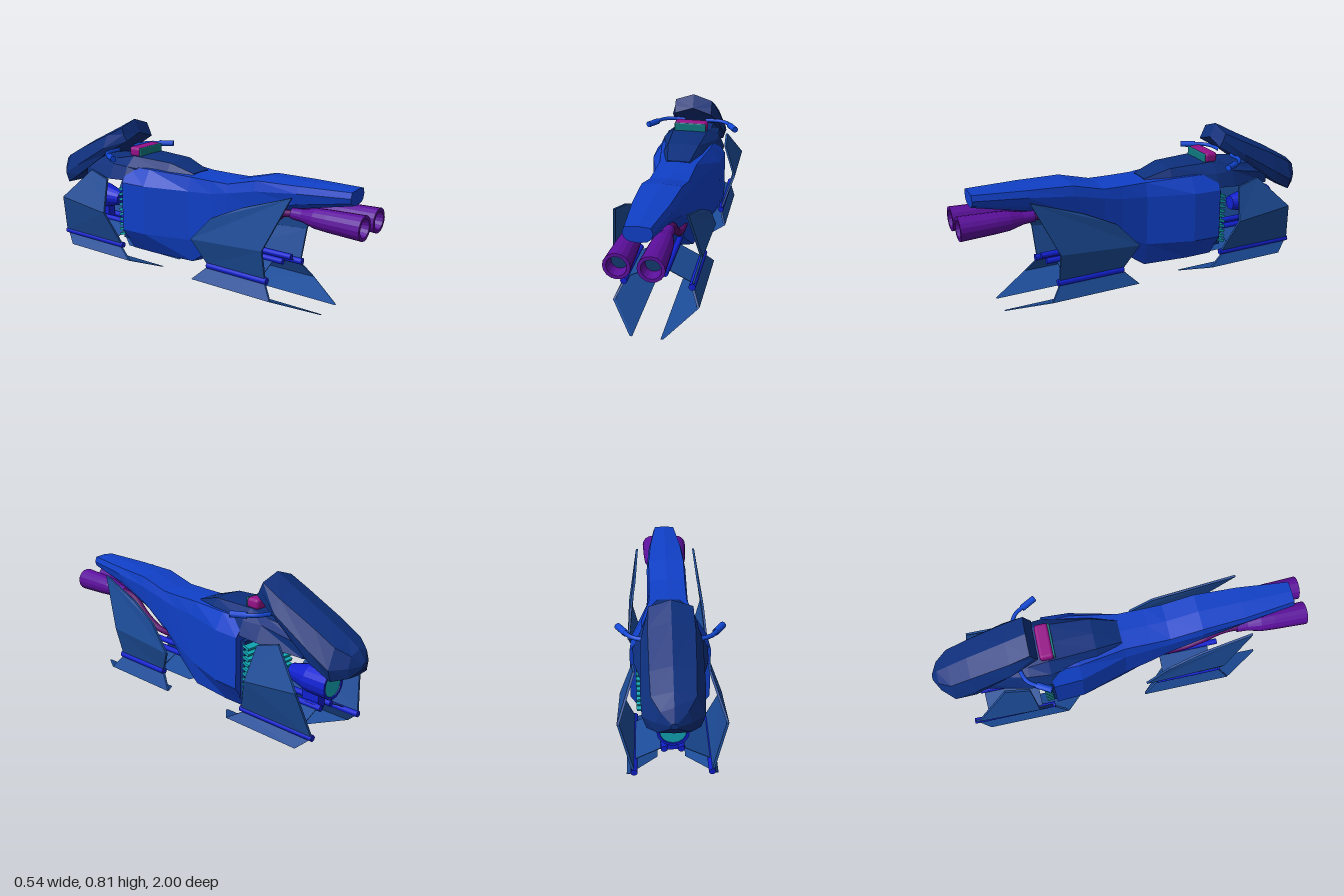
import * as THREE from 'three';
import { RoundedBoxGeometry } from 'three/addons/geometries/RoundedBoxGeometry.js';

const COLORS = {
  body: 0x1040c8, cowl: 0x0d2f7c, fin: 0x1c4c98, rod: 0x1020d0, bar: 0x1048d8,
  exhaust: 0x5c0f9c, pipe: 0x580a68, dash: 0x961088, screen: 0x107880, lens: 0x10a8b8, core: 0x123a70,
};
const mat = (name, flat = true, double = false) => new THREE.MeshStandardMaterial({
  color: COLORS[name], flatShading: flat, side: double ? THREE.DoubleSide : THREE.FrontSide,
});
const V = (x, y, z) => new THREE.Vector3(x, y, z);

function add(group, name, geometry, material) {
  const mesh = new THREE.Mesh(geometry, material);
  mesh.name = name;
  group.add(mesh);
  return mesh;
}

function fromTriangles(pos, index) {
  const g = new THREE.BufferGeometry();
  g.setAttribute('position', new THREE.Float32BufferAttribute(pos, 3));
  g.setIndex(index);
  const out = g.toNonIndexed();
  out.computeVertexNormals();
  return out;
}

// Mirrored loft: half sections [z, [x, y, dz], ...] run bottom centre to top centre, with z falling
function loft(sections) {
  const pos = [], index = [];
  const n = (sections[0].length - 2) * 2;
  for (const [z, ...half] of sections) {
    const ring = [...half, ...half.slice(1, -1).reverse().map(([x, y, d]) => [-x, y, d])];
    for (const [x, y, d = 0] of ring) pos.push(x, y, z + d);
  }
  const last = (sections.length - 1) * n;
  for (let i = 0; i < last; i += n) {
    for (let j = 0; j < n; j++) {
      const k = (j + 1) % n;
      index.push(i + j, i + n + j, i + k, i + k, i + n + j, i + n + k);
    }
  }
  for (let j = 1; j < n - 1; j++) index.push(0, j, j + 1, last, last + j + 1, last + j);
  return fromTriangles(pos, index);
}

// Thin convex plate, thickened toward the centre line
function plate(points, s, t = 0.012) {
  const n = points.length, pos = [], index = [];
  for (const d of [0, t]) for (const [x, y, z] of points) pos.push(s * (x - d), y, z);
  for (let j = 0; j < n; j++) {
    const k = (j + 1) % n;
    index.push(j, k, n + j, k, n + k, n + j);
    if (j > 0 && j < n - 1) index.push(0, j, j + 1, n, n + j + 1, n + j);
  }
  return fromTriangles(pos, index);
}

function rod(a, b, r, sides = 10) {
  return new THREE.TubeGeometry(new THREE.LineCurve3(a, b), 1, r, sides);
}

function cappedRod(group, name, x, y, z0, z1, r, material) {
  const g = new THREE.CylinderGeometry(r, r, Math.abs(z1 - z0), 12).rotateX(Math.PI / 2);
  add(group, name, g, material).position.set(x, y, (z0 + z1) / 2);
}

export function createModel() {
  const model = new THREE.Group();

  // Main body with seat and tail
  add(model, 'body', loft([
    [0.92, [0, 0.565], [0.04, 0.57], [0.06, 0.585], [0.068, 0.61], [0.058, 0.638], [0, 0.643]],
    [0.65, [0, 0.505], [0.05, 0.51], [0.085, 0.54], [0.1, 0.595], [0.088, 0.63], [0, 0.638]],
    [0.42, [0, 0.41], [0.055, 0.415], [0.1, 0.47], [0.112, 0.57], [0.1, 0.622], [0, 0.63]],
    [0.25, [0, 0.29], [0.06, 0.3], [0.1, 0.37], [0.112, 0.53], [0.1, 0.577], [0, 0.585]],
    [0.15, [0, 0.195], [0.07, 0.2], [0.105, 0.3], [0.112, 0.51], [0.1, 0.575], [0, 0.58]],
    [0.01, [0, 0.085], [0.085, 0.1], [0.115, 0.23], [0.118, 0.5], [0.1, 0.575], [0, 0.58]],
    [-0.24, [0, 0.08], [0.112, 0.1], [0.192, 0.23], [0.192, 0.5], [0.14, 0.585], [0, 0.59]],
    [-0.39, [0, 0.08], [0.112, 0.1], [0.2, 0.23], [0.2, 0.5], [0.14, 0.58], [0, 0.59]],
  ]), mat('body'));

  // Tank top running forward into the neck
  add(model, 'tank', loft([
    [0.0, [0, 0.55], [0.07, 0.55], [0.075, 0.565], [0.06, 0.582], [0, 0.583]],
    [-0.14, [0, 0.52], [0.11, 0.52], [0.115, 0.57], [0.085, 0.625], [0, 0.63]],
    [-0.39, [0, 0.48], [0.185, 0.51], [0.155, 0.58], [0.1, 0.632], [0, 0.635]],
    [-0.5, [0, 0.47], [0.18, 0.5], [0.145, 0.58], [0.1, 0.605], [0, 0.61]],
    [-0.74, [0, 0.45], [0.12, 0.47], [0.12, 0.53], [0.09, 0.58], [0, 0.58]],
  ]), mat('cowl'));

  // Front cowl with its raised windscreen edge
  add(model, 'frontCowl', loft([
    [-0.47, [0, 0.742, 0.035], [0.105, 0.708, 0.035], [0.107, 0.745, 0.015], [0.105, 0.78], [0, 0.815]],
    [-0.58, [0, 0.66], [0.13, 0.62], [0.145, 0.655], [0.11, 0.725], [0, 0.757]],
    [-0.79, [0, 0.5], [0.14, 0.47], [0.147, 0.53], [0.105, 0.625], [0, 0.652]],
    [-0.9, [0, 0.4], [0.12, 0.405], [0.14, 0.465], [0.1, 0.565], [0, 0.59]],
    [-0.965, [0, 0.42], [0.07, 0.425], [0.08, 0.475], [0.06, 0.53], [0, 0.552]],
    [-1.0, [0, 0.465], [0.015, 0.468], [0.018, 0.48], [0.012, 0.49], [0, 0.495]],
  ]), mat('cowl'));

  // Dashboard block with a screen facing the rider
  add(model, 'dashboard', new RoundedBoxGeometry(0.19, 0.055, 0.075, 2, 0.018), mat('dash', false))
    .position.set(0, 0.652, -0.392);
  add(model, 'dashScreen', new RoundedBoxGeometry(0.18, 0.048, 0.012, 2, 0.006), mat('screen', false))
    .position.set(0, 0.653, -0.354);

  // Radiator core and slats on the forward face of the body
  add(model, 'radiatorCore', new THREE.BoxGeometry(0.33, 0.31, 0.03), mat('cowl'))
    .position.set(0, 0.325, -0.4);
  for (let i = 0; i < 10; i++) {
    const slat = add(model, 'radiatorSlat', new THREE.BoxGeometry(0.34, 0.014, 0.04), mat('lens'));
    slat.position.set(0, 0.19 + i * 0.029, -0.425);
    slat.rotation.x = -0.35;
  }

  // Headlamp, its lens and lower bracket
  const lampProfile = [[0, 0], [0.04, 0], [0.055, 0.06], [0.072, 0.12], [0.075, 0.25], [0.062, 0.25], [0.058, 0.235]];
  add(model, 'headlamp', new THREE.LatheGeometry(
    lampProfile.map(([r, y]) => new THREE.Vector2(r, y)), 16).rotateX(-Math.PI / 2), mat('rod', true, true))
    .position.set(0, 0.33, -0.585);
  add(model, 'headlampLens', new THREE.CylinderGeometry(0.062, 0.062, 0.01, 20).rotateX(Math.PI / 2), mat('lens'))
    .position.set(0, 0.33, -0.825);
  add(model, 'lampBracket', new THREE.BoxGeometry(0.05, 0.1, 0.1), mat('rod')).position.set(0, 0.235, -0.72);
  add(model, 'lampCrossbar', new THREE.BoxGeometry(0.1, 0.025, 0.06), mat('rod')).position.set(0, 0.21, -0.74);

  for (const s of [1, -1]) {
    const side = new THREE.Group();
    side.name = s > 0 ? 'leftSide' : 'rightSide';
    model.add(side);
    const finMat = mat('fin', true, true), rodMat = mat('rod', false);

    // Rear stabiliser: folded fin above, folded skid below
    const fold = [[0.222, 0.315, 0.54], [0.222, 0.285, 0.105]];
    add(side, 'rearFinUpper', plate([
      [0.176, 0.595, 0.67], [0.19, 0.5, 0.4], [0.21, 0.42, 0.23], [0.224, 0.285, 0.105], fold[0]], s), finMat);
    add(side, 'rearFinLower', plate([
      fold[0], fold[1], [0.18, 0.155, 0.18], [0.18, 0.155, 0.535]], s), finMat);
    add(side, 'rearSkidUpper', plate([
      [0.18, 0.135, 0.535], [0.18, 0.135, 0.18], [0.217, 0.062, 0.105], [0.217, 0.062, 0.59]], s), finMat);
    add(side, 'rearSkidLower', plate([
      [0.217, 0.062, 0.59], [0.217, 0.062, 0.105], [0.08, 0.003, 0.235], [0.08, 0.003, 0.8]], s), finMat);

    // Front stabiliser
    add(side, 'frontFinUpper', plate([
      [0.182, 0.53, -0.64], [0.19, 0.495, -0.515], [0.25, 0.318, -0.49], [0.255, 0.358, -0.81]], s), finMat);
    add(side, 'frontFinLower', plate([
      [0.25, 0.318, -0.49], [0.255, 0.358, -0.81], [0.19, 0.135, -0.86], [0.19, 0.135, -0.42]], s), finMat);
    add(side, 'frontSkidUpper', plate([
      [0.185, 0.115, -0.43], [0.185, 0.115, -0.85], [0.217, 0.06, -0.79], [0.217, 0.06, -0.34]], s), finMat);
    add(side, 'frontSkidLower', plate([
      [0.217, 0.06, -0.34], [0.217, 0.06, -0.79], [0.08, 0.012, -0.6], [0.08, 0.012, -0.21]], s), finMat);

    // Hinge rods, inner rods and the webs between them
    cappedRod(side, 'rearHingeRod', s * 0.172, 0.145, 0.18, 0.545, 0.018, rodMat);
    cappedRod(side, 'rearInnerRod', s * 0.04, 0.212, 0.1, 0.555, 0.016, rodMat);
    cappedRod(side, 'frontHingeRod', s * 0.18, 0.127, -0.41, -0.865, 0.016, rodMat);
    cappedRod(side, 'frontInnerRod', s * 0.04, 0.21, -0.39, -0.8, 0.016, rodMat);
    for (const [name, z0, z1] of [['rearWeb', 0.22, 0.5], ['frontWeb', -0.78, -0.48]]) {
      add(side, name, plate([
        [0.04, 0.21, z0], [0.175, 0.142, z0], [0.175, 0.142, z1], [0.04, 0.21, z1]], s, 0.008), finMat);
    }

    // Exhaust can, dark core and bent feed pipe
    const can = [[0.028, 0], [0.032, 0.06], [0.05, 0.13], [0.055, 0.2], [0.062, 0.38], [0.046, 0.38], [0.038, 0.34], [0.036, 0.24]];
    add(side, 'exhaustCan', new THREE.LatheGeometry(
      can.map(([r, y]) => new THREE.Vector2(r, y)), 16).rotateX(Math.PI / 2).scale(1, -1, 1), mat('exhaust', true, true))
      .position.set(s * 0.075, 0.487, 0.62);
    add(side, 'exhaustCore', new THREE.CylinderGeometry(0.04, 0.04, 0.01, 16).rotateX(Math.PI / 2), mat('core'))
      .position.set(s * 0.075, 0.487, 0.94);
    const bend = new THREE.CatmullRomCurve3([
      V(s * 0.075, 0.487, 0.65), V(s * 0.075, 0.47, 0.54), V(s * 0.075, 0.39, 0.44), V(s * 0.075, 0.335, 0.33), V(s * 0.075, 0.33, 0.18)]);
    add(side, 'exhaustPipe', new THREE.TubeGeometry(bend, 16, 0.018, 10), mat('pipe', false));

    // Swept handlebar and grip
    const bar = new THREE.CatmullRomCurve3([
      V(s * 0.06, 0.638, -0.54), V(s * 0.13, 0.642, -0.535), V(s * 0.185, 0.642, -0.51), V(s * 0.22, 0.64, -0.46), V(s * 0.25, 0.64, -0.41)]);
    add(side, 'handlebar', new THREE.TubeGeometry(bar, 16, 0.011, 8), mat('bar', false));
    add(side, 'handGrip', rod(V(s * 0.212, 0.64, -0.47), V(s * 0.252, 0.64, -0.4), 0.017), mat('bar', false, true));
    const tip = add(side, 'gripEnd', new THREE.CylinderGeometry(0.017, 0.017, 0.006, 10), mat('bar'));
    tip.position.set(s * 0.252, 0.64, -0.4);
    tip.quaternion.setFromUnitVectors(V(0, 1, 0), V(s * 0.04, 0, 0.07).normalize());
  }
  return model;
}
